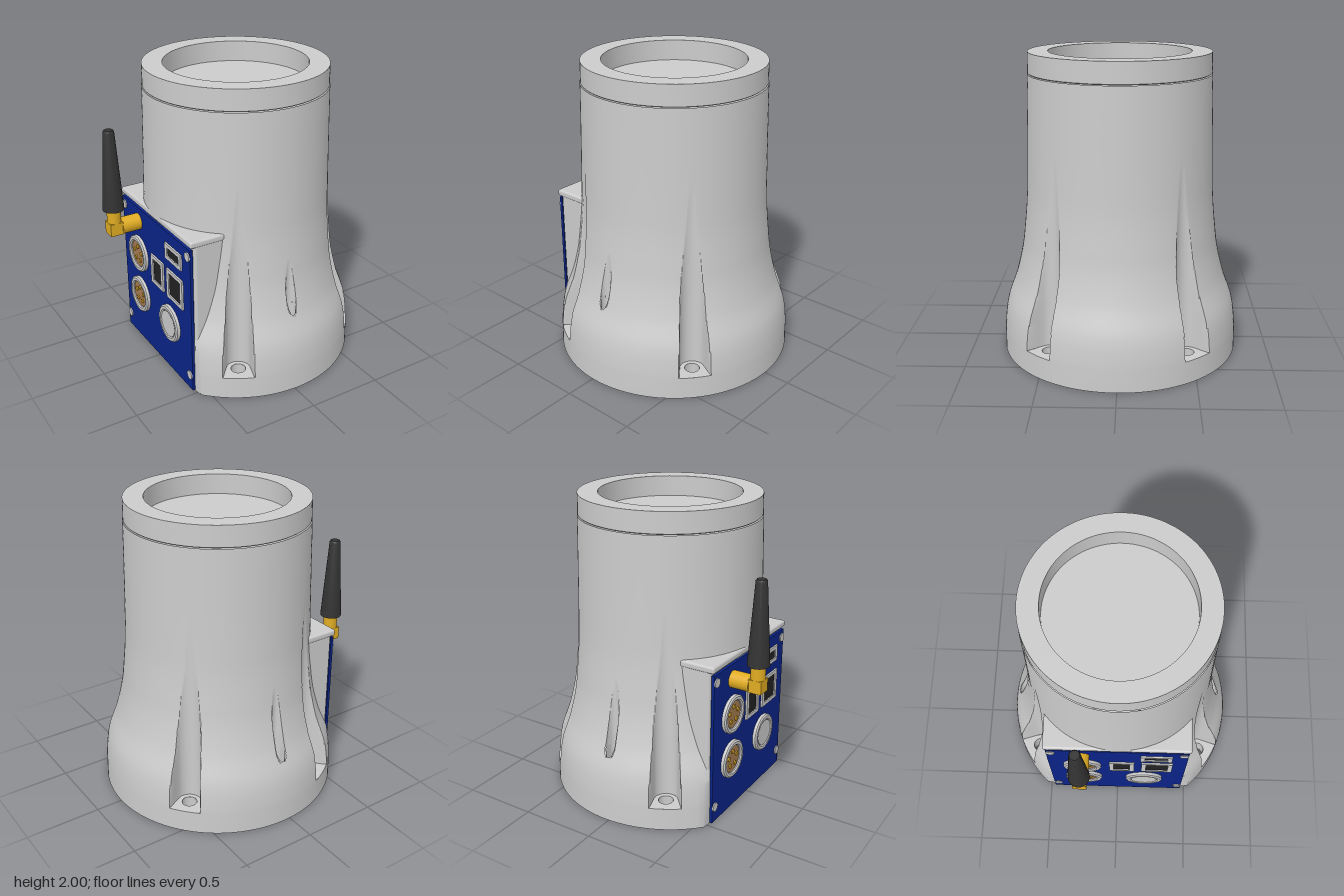
import * as THREE from 'three';
import { toCreasedNormals } from 'three/addons/utils/BufferGeometryUtils.js';
import { RoundedBoxGeometry } from 'three/addons/geometries/RoundedBoxGeometry.js';

const CX = 0.03, FLOOR = 0.15, FLAT = 0.595, RAD = Math.PI / 180;
const mat = (color) => new THREE.MeshStandardMaterial({ color, side: THREE.DoubleSide });
const grey = mat(0xcccccc), blue = mat(0x0a2488), gold = mat(0xe0ac22);
const black = mat(0x333333), dark = mat(0x222222), brown = mat(0xa67c52);

// Flared outline (radius, height)
const outline = new THREE.SplineCurve([
  [0.792, 0], [0.787, 0.18], [0.763, 0.34], [0.7, 0.52], [0.657, 0.7], [0.636, 0.86],
  [0.618, 1.05], [0.61, 1.25], [0.602, 1.55], [0.595, 1.86],
].map(([r, y]) => new THREE.Vector2(r, y))).getPoints(240);

function radiusAt(y) {
  const i = Math.max(1, outline.findIndex((p) => p.y >= y - 1e-6));
  const a = outline[i - 1], b = outline[i];
  return a.x + (b.x - a.x) * (y - a.y) / (b.y - a.y);
}
const heightAt = (r) => outline.find((p) => p.x <= r).y;

// Four mounting grooves, a round pin hole in front and a slotted one behind
const GROOVES = [40, -40, 120, -120], GC = 0.686, GR = 0.08;
const PINS = [{ a: 90, c: 0.67, s: 0 }, { a: -90, c: 0.683, s: 0.018 }], PR = 0.035;

function grooveWall(d) {
  const t = Math.abs(GC * Math.sin(d * RAD));
  if (t < GR) return GC * Math.cos(d * RAD) - Math.sqrt(GR * GR - t * t);
  const inner = Math.asin(GR / GC) / RAD;
  return GC + 0.125 * (Math.abs(d) - inner) / 0.8;
}

function surface(a, y, cut) {
  let r = radiusAt(y), ledge = false;
  if (cut) for (const g of GROOVES) if (Math.abs(a - g) < 8) r = Math.min(r, grooveWall(a - g));
  for (const p of PINS) {
    const t = Math.abs(a - p.a) * RAD * p.c;
    if (t >= PR) continue;
    const h = p.s + Math.sqrt(PR * PR - t * t);
    if (r > p.c + h) ledge = true;
    else r = Math.min(r, p.c - h);
  }
  const c = Math.cos(a * RAD);
  if (c < 0 && y < 1.06) r = Math.min(r, FLAT / -c); // flat side behind the panel
  return { r, ledge };
}

function angleList() {
  const set = new Set();
  for (let a = -180; a < 180; a += 3) set.add(a);
  for (const g of GROOVES) for (let i = -20; i <= 20; i++) set.add(+(g + i * 0.4).toFixed(2));
  for (const p of PINS) for (let i = -12; i <= 12; i++) set.add(+(p.a + i * 0.3).toFixed(2));
  return [...set].sort((a, b) => a - b);
}

function bodyGeometry(angles) {
  const rows = [[0, false], [FLOOR, false], [FLOOR, true]];
  for (let y = 0.165; y < 0.92; y += 0.015) rows.push([y, true]);
  for (let y = 0.94; y < 1.4; y += 0.03) rows.push([y, true]);
  rows.push([1.55, true], [1.7, true], [1.86, true]);
  const pos = [], idx = [], ledges = [], n = angles.length;
  for (const [y, cut] of rows) for (const a of angles) {
    const { r, ledge } = surface(a, y, cut);
    pos.push(CX + r * Math.cos(a * RAD), y, r * Math.sin(a * RAD));
    ledges.push(ledge);
  }
  for (let j = 0; j < rows.length - 1; j++) {
    if (j === 1) continue; // groove floors are separate
    for (let i = 0; i < n; i++) {
      const k = (i + 1) % n, a = j * n + i, b = j * n + k, c = a + n, d = b + n;
      if ((ledges[a] && !ledges[c]) || (ledges[b] && !ledges[d])) continue; // open hole mouth
      idx.push(a, c, b, b, c, d);
    }
  }
  const g = new THREE.BufferGeometry();
  g.setAttribute('position', new THREE.Float32BufferAttribute(pos, 3));
  g.setIndex(idx);
  return toCreasedNormals(g, 0.6);
}

const polar = (r, a) => new THREE.Vector2(CX + r * Math.cos(a * RAD), r * Math.sin(a * RAD));

function pinPoints(p, n = 32) {
  return Array.from({ length: n }, (_, i) => {
    const t = i / n * Math.PI * 2, z = Math.sin(t);
    return new THREE.Vector2(CX + PR * Math.cos(t), Math.sign(p.a) * p.c + PR * z + (z >= 0 ? p.s : -p.s));
  });
}

function mountHole(a) {
  const c = polar(GC - 0.005, a);
  return new THREE.Path().absarc(c.x, c.y, 0.048, 0, Math.PI * 2);
}

export function createModel() {
  const model = new THREE.Group();
  const add = (name, geo, m = grey, x = 0, y = 0, z = 0, parent = model) => {
    const mesh = new THREE.Mesh(geo, m);
    mesh.name = name;
    mesh.position.set(x, y, z);
    parent.add(mesh);
    return mesh;
  };
  const sheet = (shape) => new THREE.ShapeGeometry(shape, 24).rotateX(Math.PI / 2);
  const lathe = (pts, n = 40) => toCreasedNormals(
    new THREE.LatheGeometry(pts.map(([r, y]) => new THREE.Vector2(r, y)), n), 0.5);

  // Body, base plate and top rim with its shallow recess
  const angles = angleList();
  add('body', bodyGeometry(angles));
  const base = new THREE.Shape(angles.map((a) => polar(surface(a, 0, false).r, a)));
  base.holes = [...GROOVES.map(mountHole), ...PINS.map((p) => new THREE.Path(pinPoints(p)))];
  add('basePlate', sheet(base));
  add('topRim', lathe([[0.585, 1.862], [0.592, 1.868], [0.59, 2], [0.46, 2], [0.46, 1.865], [0, 1.865]], 96), grey, CX);

  // Groove floors with bolt holes
  for (const g of GROOVES) {
    const pts = [];
    for (let d = -7.4; d <= 7.41; d += 0.37) pts.push(polar(Math.min(grooveWall(d), 0.787), g + d));
    for (let d = 7.4; d >= -7.41; d -= 1.85) pts.push(polar(radiusAt(FLOOR), g + d));
    const floor = new THREE.Shape(pts);
    floor.holes.push(mountHole(g));
    add('grooveFloor', sheet(floor), grey, 0, FLOOR);
    const c = polar(GC - 0.005, g);
    add('boltHole', new THREE.CylinderGeometry(0.048, 0.048, FLOOR, 24, 1, true), grey, c.x, FLOOR / 2, c.y);
  }

  // Pin hole linings, trimmed where they break out of the body
  for (const p of PINS) {
    const pts = pinPoints(p), pos = [], idx = [], n = pts.length;
    pts.forEach((q, i) => {
      const top = heightAt(Math.hypot(q.x - CX, q.y));
      pos.push(q.x, 0, q.y, q.x, top, q.y);
      const a = 2 * i, b = 2 * ((i + 1) % n);
      idx.push(a, b, a + 1, b, b + 1, a + 1);
    });
    const g = new THREE.BufferGeometry();
    g.setAttribute('position', new THREE.Float32BufferAttribute(pos, 3));
    g.setIndex(idx);
    g.computeVertexNormals();
    add('pinHole', g);
  }

  // Side housing, its overhanging lid and the panel
  add('housing', new RoundedBoxGeometry(0.255, 1.07, 0.96, 3, 0.02), grey, -0.4275, 0.55, 0);
  add('housingLid', new RoundedBoxGeometry(0.25, 0.045, 0.97, 3, 0.015), grey, -0.46, 1.07, 0);
  add('panel', new THREE.BoxGeometry(0.02, 1.03, 0.94), blue, -0.572, 0.518, 0);

  // Fittings are built along +y and turned to face -x
  const fittings = new THREE.Group();
  fittings.name = 'panelFittings';
  fittings.position.x = -0.582;
  model.add(fittings);
  const disc = (name, r, h, m, y, z, x = 0) =>
    add(name, new THREE.CylinderGeometry(r, r, h, 32).rotateZ(Math.PI / 2), m, x - h / 2, y, z, fittings);
  const bezel = (name, y, z) =>
    add(name, lathe([[0.128, 0], [0.128, 0.02], [0.118, 0.028], [0.1, 0.028], [0.092, 0.02], [0.092, 0]])
      .rotateZ(Math.PI / 2), grey, 0, y, z, fittings);

  for (const y of [0.69, 0.37]) {
    bezel('connectorBezel', y, -0.24);
    disc('connectorInsert', 0.093, 0.012, brown, y, -0.24);
    for (let i = 0; i < 5; i++) {
      const t = (i * 72 + 90) * RAD;
      disc('connectorPin', 0.014, 0.02, gold, y + 0.052 * Math.sin(t), -0.24 + 0.052 * Math.cos(t));
    }
  }
  bezel('buttonBezel', 0.37, 0.19);
  disc('button', 0.09, 0.024, grey, 0.37, 0.19);
  for (const y of [0.11, 0.98]) for (const z of [-0.44, 0.44]) disc('panelScrew', 0.03, 0.008, grey, y, z);

  // Framed sockets
  const rect = (C, w, h) => new C([[-w, -h], [w, -h], [w, h], [-w, h]].map(([x, y]) => new THREE.Vector2(x / 2, y / 2)));
  for (const [y, z, w, h] of [[0.67, 0.27, 0.21, 0.21], [0.67, 0.03, 0.17, 0.21], [0.9, 0.26, 0.21, 0.11]]) {
    const s = rect(THREE.Shape, w, h);
    s.holes.push(rect(THREE.Path, w - 0.06, h - 0.05));
    add('socketFrame', new THREE.ExtrudeGeometry(s, { depth: 0.012, bevelEnabled: false }).rotateY(-Math.PI / 2),
      grey, 0, y, z, fittings);
    add('socketOpening', new THREE.BoxGeometry(0.006, h - 0.05, w - 0.06), dark, -0.001, y, z, fittings);
  }

  // Antenna on its elbow
  const antenna = new THREE.Group();
  antenna.name = 'antenna';
  antenna.position.set(-0.755, 0, -0.24);
  model.add(antenna);
  add('antennaPlug', new THREE.CylinderGeometry(0.056, 0.056, 0.14, 32).rotateZ(Math.PI / 2), gold, 0.11, 0.932, 0, antenna);
  add('antennaElbow', new THREE.BoxGeometry(0.09, 0.085, 0.09), gold, 0, 0.932, 0, antenna);
  add('antennaNeck', new THREE.CylinderGeometry(0.046, 0.046, 0.1, 32), gold, 0, 1.02, 0, antenna);
  add('antennaRod', lathe([[0, 1.065], [0.071, 1.065], [0.069, 1.1], [0.036, 1.6], [0.03, 1.61], [0, 1.61]], 32),
    black, 0, 0, 0, antenna);
  return model;
}
